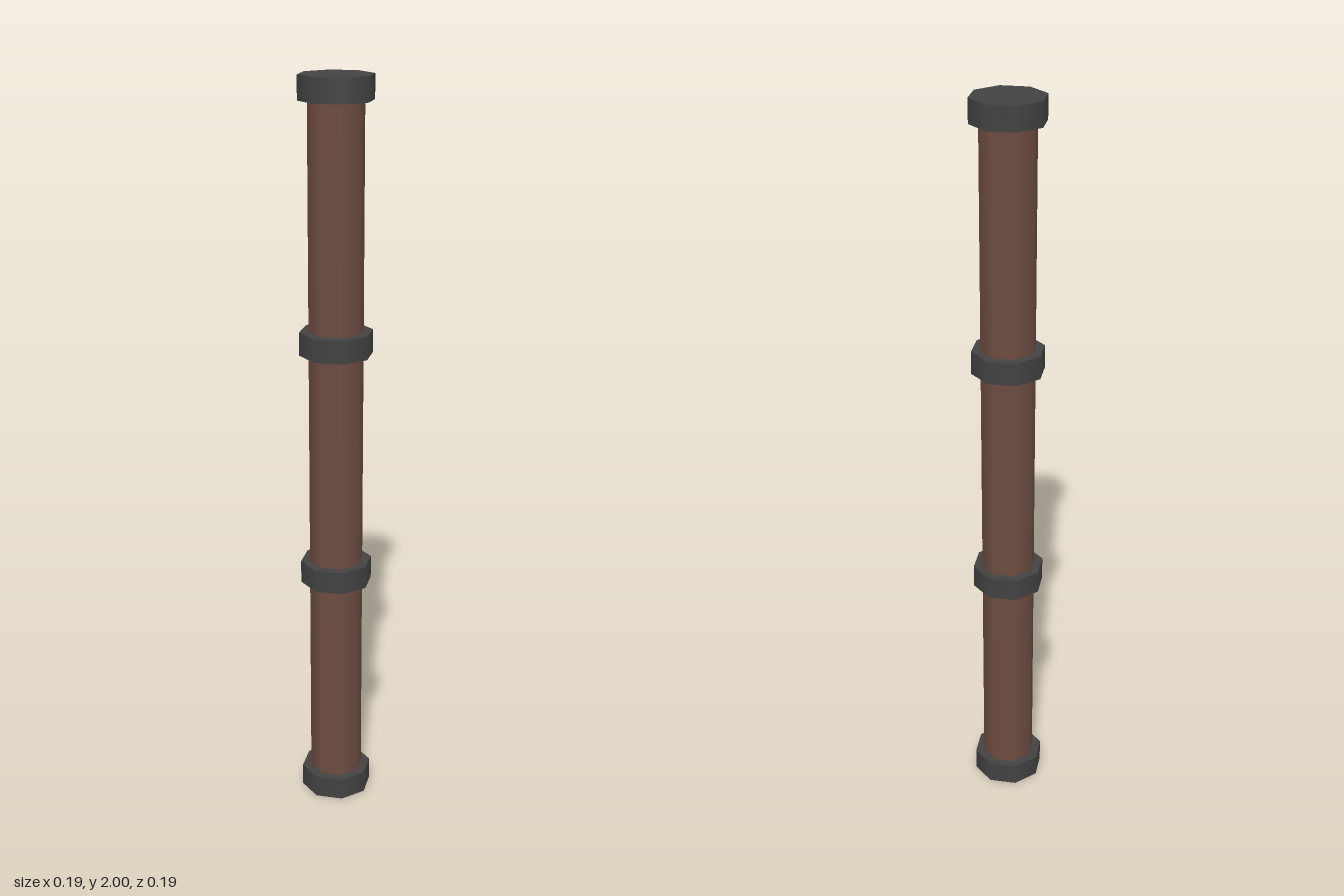
import * as THREE from 'three';

export function createModel() {
  const group = new THREE.Group();
  const brown = new THREE.MeshStandardMaterial({ color: 0x6d4c41 });
  brown.name = 'brown pipe';
  const grey = new THREE.MeshStandardMaterial({ color: 0x424242 });
  grey.name = 'dark grey metal';

  const height = 2, bandHeight = 0.062, sides = 8;

  // Long pipe, ending just inside the end bands
  const pipe = new THREE.Mesh(new THREE.CylinderGeometry(0.0725, 0.0725, height - 0.04, sides), brown);
  pipe.name = 'pipe';
  pipe.position.y = height / 2;
  group.add(pipe);

  // Four evenly spaced bands, the outer two capping the ends
  const bandGeometry = new THREE.CylinderGeometry(0.097, 0.097, bandHeight, sides);
  for (let i = 0; i < 4; i++) {
    const band = new THREE.Mesh(bandGeometry, grey);
    band.name = `band${i + 1}`;
    band.position.y = bandHeight / 2 + (height - bandHeight) * i / 3;
    group.add(band);
  }
  return group;
}
